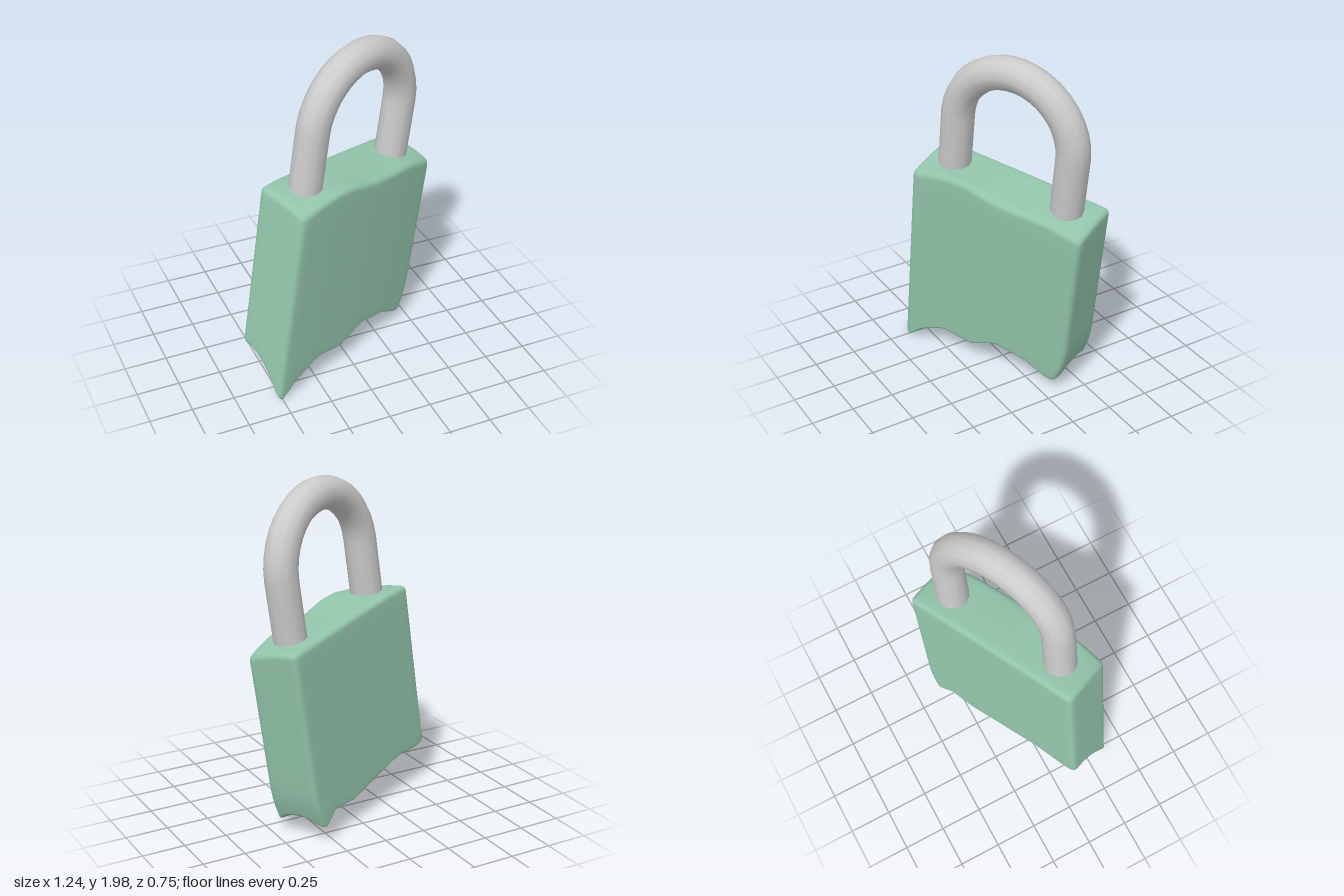
import * as THREE from 'three';
import { mergeVertices } from 'three/addons/utils/BufferGeometryUtils.js';

// Body extents in its own upright frame
const U0 = -0.64, U1 = 0.47, W0 = -0.205, W1 = 0.125, H = 1.1, R = 0.035;

// Edge profiles as [u, height] pairs
const frontTop = [[-0.64, 1.15], [-0.6, 1.155], [-0.49, 1.195], [-0.36, 1.225], [-0.25, 1.228], [-0.07, 1.2], [0.09, 1.2], [0.26, 1.205], [0.375, 1.185], [0.47, 1.16]];
const backTop = [[-0.64, 1.2], [-0.5, 1.215], [0, 1.22], [0.47, 1.215]];
const frontBottom = [[-0.64, -0.09], [-0.6, -0.082], [-0.51, 0.015], [-0.34, 0.113], [-0.13, 0.108], [0.024, 0.198], [0.226, 0.183], [0.4, 0.12], [0.47, 0.115]];
const backBottom = [[-0.64, 0.18], [-0.55, 0.17], [-0.35, 0.2], [-0.1, 0.18], [0.15, 0.155], [0.32, 0.19], [0.42, 0.13], [0.47, 0.125]];

function sample(profile, u) {
  let i = 1;
  while (i < profile.length - 1 && u > profile[i][0]) i++;
  const [a, ya] = profile[i - 1], [b, yb] = profile[i];
  return THREE.MathUtils.lerp(ya, yb, THREE.MathUtils.clamp((u - a) / (b - a), 0, 1));
}

// Grid line k of n along a side of given length, two rows kept for the rounded edge
function gridLine(k, n, length) {
  if (k <= 2) return (k * R) / 2;
  if (k >= n - 2) return length - ((n - k) * R) / 2;
  return R + ((k - 2) / (n - 4)) * (length - 2 * R);
}

// Rounded block whose top and bottom follow the wavy profiles
function bodyGeometry() {
  const segs = [30, 18, 12], size = [U1 - U0, H, W1 - W0];
  const geo = new THREE.BoxGeometry(1, 1, 1, ...segs);
  geo.deleteAttribute('uv');
  geo.deleteAttribute('normal');
  const pos = geo.attributes.position;
  const p = new THREE.Vector3(), core = new THREE.Vector3();
  const lo = new THREE.Vector3(R, R, R), hi = new THREE.Vector3(...size).subScalar(R);
  for (let i = 0; i < pos.count; i++) {
    p.fromBufferAttribute(pos, i);
    p.set(...p.toArray().map((v, a) => gridLine(Math.round((v + 0.5) * segs[a]), segs[a], size[a])));
    core.copy(p).clamp(lo, hi);
    p.sub(core).setLength(R).add(core);

    const t = p.y / H, f = p.z / size[2];
    let u = U0 + p.x, w = W0 + p.z;
    const hollow = 0.07 * (1 - (2 * f - 1) ** 2);
    const bottom = THREE.MathUtils.lerp(sample(backBottom, u), sample(frontBottom, u), f) + hollow;
    const top = THREE.MathUtils.lerp(sample(backTop, u), sample(frontTop, u), f * f);
    const y = THREE.MathUtils.lerp(bottom, top, t);

    // slight belly on the front, tuck at the lower end
    const s = (2 * p.x) / size[0] - 1;
    w += 0.022 * f * (1 - s * s);
    u -= 0.045 * (p.x / size[0]) * Math.min(1, Math.max(0, (0.38 - y) / 0.25)) ** 2;
    pos.setXYZ(i, u, y, w);
  }
  const merged = mergeVertices(geo, 1e-4);
  merged.computeVertexNormals();
  return merged;
}

// U-shaped bar: two straight legs joined by a half circle
function shackleGeometry() {
  const cx = -0.086, z = -0.038, r = 0.37, cy = 1.535, foot = 1.1;
  const path = new THREE.CurvePath();
  const at = (x, y) => new THREE.Vector3(x, y, z);
  const k = r * 0.5523;
  path.add(new THREE.LineCurve3(at(cx - r, foot), at(cx - r, cy)));
  path.add(new THREE.CubicBezierCurve3(at(cx - r, cy), at(cx - r, cy + k), at(cx - k, cy + r), at(cx, cy + r)));
  path.add(new THREE.CubicBezierCurve3(at(cx, cy + r), at(cx + k, cy + r), at(cx + r, cy + k), at(cx + r, cy)));
  path.add(new THREE.LineCurve3(at(cx + r, cy), at(cx + r, foot)));
  return new THREE.TubeGeometry(path, 32, 0.094, 12, false);
}

export function createModel() {
  const model = new THREE.Group();
  model.name = 'padlock';

  const body = new THREE.Mesh(bodyGeometry(), new THREE.MeshStandardMaterial({ color: 0x93c5ab }));
  body.name = 'lockBody';

  const shackle = new THREE.Mesh(shackleGeometry(), new THREE.MeshStandardMaterial({ color: 0xcccccc }));
  shackle.name = 'shackle';

  // turned about the upright, then leaned sideways
  const pose = new THREE.Group();
  pose.name = 'leaningLock';
  pose.rotation.set(0, THREE.MathUtils.degToRad(25.4), THREE.MathUtils.degToRad(-8), 'ZYX');
  pose.add(body, shackle);
  model.add(pose);
  return model;
}
